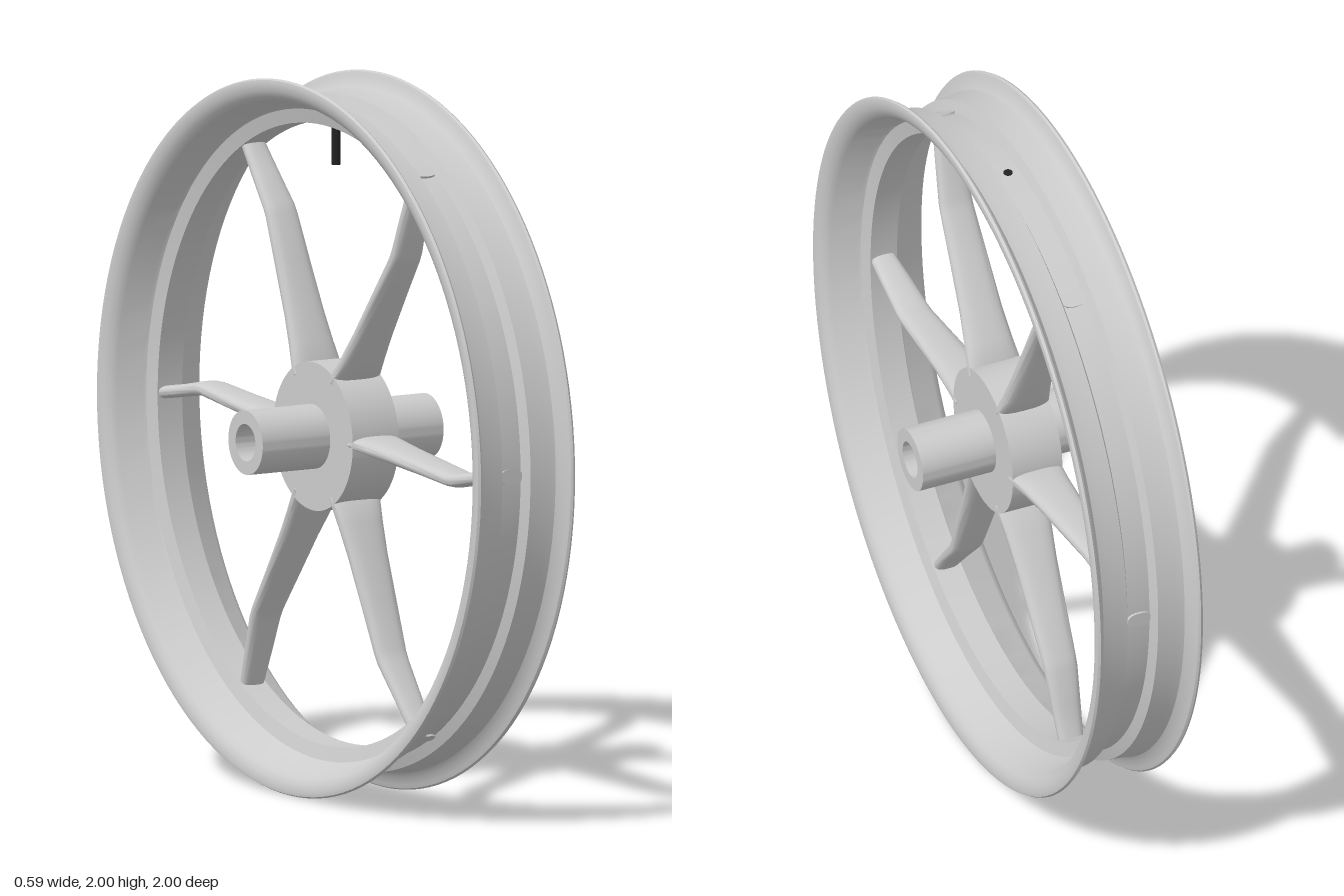
import * as THREE from 'three';
import { toCreasedNormals } from 'three/addons/utils/BufferGeometryUtils.js';

const grey = new THREE.MeshStandardMaterial({ color: 0xcccccc });
const black = new THREE.MeshStandardMaterial({ color: 0x222222 });

function part(name, geometry, material = grey) {
  const mesh = new THREE.Mesh(geometry, material);
  mesh.name = name;
  return mesh;
}

// Revolve a closed [radius, axial] outline around the x axis
function revolve(outline, segments) {
  const pts = [...outline, outline[0]].map(([r, a]) => new THREE.Vector2(r, a));
  const g = new THREE.LatheGeometry(pts, segments).rotateZ(-Math.PI / 2);
  return toCreasedNormals(g, 0.5);
}

// Mirror half an outline, running from the centre plane outwards
const mirrored = (half) => [...half.map(([r, a]) => [r, -a]).reverse(), ...half];

function rimGeometry() {
  const outer = [
    [0.912, 0.033], [0.943, 0.046], [0.947, 0.1], [0.952, 0.122],
    [0.965, 0.134], [0.985, 0.141], [0.996, 0.145], [1, 0.151], [0.996, 0.158],
  ];
  const inner = [
    [0.985, 0.16], [0.965, 0.155], [0.948, 0.146], [0.936, 0.13],
    [0.914, 0.06], [0.908, 0.052], [0.868, 0.04],
  ];
  const innerFlipped = inner.map(([r, a]) => [r, -a]).reverse();
  return revolve([...mirrored(outer), ...inner, ...innerFlipped], 128);
}

function hubGeometry() {
  const outer = [[0.208, 0.075], [0.09, 0.075], [0.09, 0.295], [0.052, 0.295]];
  return revolve(mirrored(outer), 64);
}

// Bent blade along +y, lofted through rounded sections
function spokeGeometry() {
  // radius, sideways offset, half width, half thickness
  const stations = [
    [0.185, 0, 0, 0], [0.185, 0, 0.078, 0.014], [0.21, 0, 0.077, 0.022],
    [0.27, 0.006, 0.069, 0.024], [0.36, 0.015, 0.061, 0.023],
    [0.5, 0.028, 0.055, 0.021], [0.64, 0.042, 0.049, 0.02],
    [0.67, 0.041, 0.048, 0.02], [0.78, 0.02, 0.042, 0.018],
    [0.87, 0.004, 0.036, 0.018], [0.918, 0, 0.034, 0.022], [0.918, 0, 0, 0],
  ];
  const sides = 24;
  const soften = (v) => Math.sign(v) * Math.abs(v) ** 0.75;
  const pos = [], index = [];
  stations.forEach(([r, offset, w, t], i) => {
    for (let j = 0; j < sides; j++) {
      const a = (j / sides) * Math.PI * 2;
      pos.push(soften(Math.cos(a)) * w, r, offset + soften(Math.sin(a)) * t);
      if (i === stations.length - 1) continue;
      const p = i * sides + j, q = i * sides + (j + 1) % sides;
      index.push(p, p + sides, q, q, p + sides, q + sides);
    }
  });
  const g = new THREE.BufferGeometry();
  g.setAttribute('position', new THREE.Float32BufferAttribute(pos, 3));
  g.setIndex(index);
  return toCreasedNormals(g, 0.6);
}

export function createModel() {
  const wheel = new THREE.Group();
  wheel.name = 'wheel';
  wheel.position.y = 1;

  wheel.add(part('rim', rimGeometry()), part('hub', hubGeometry()));

  // Six identical spokes around the axle
  const spoke = spokeGeometry();
  for (let i = 0; i < 6; i++) {
    const mesh = part('spoke', spoke);
    mesh.rotation.x = Math.PI / 6 + (i * Math.PI) / 3;
    wheel.add(mesh);
  }

  // Valve stem through the top of the rim
  const valve = part('valveStem', new THREE.CylinderGeometry(0.013, 0.013, 0.16, 20), black);
  valve.position.y = 0.835;
  wheel.add(valve);

  const model = new THREE.Group();
  model.add(wheel);
  return model;
}
